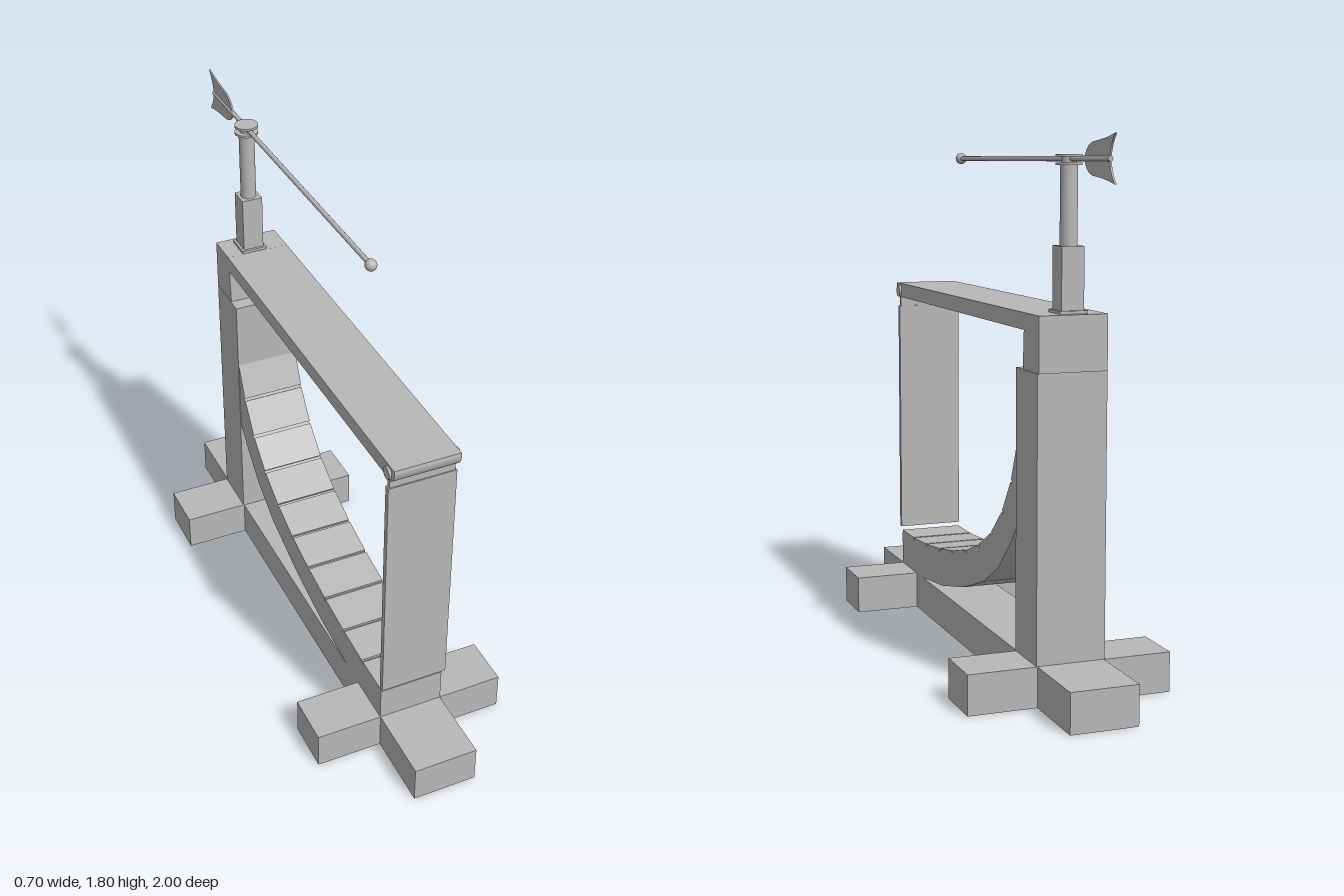
import * as THREE from 'three';

export function createModel() {
  const model = new THREE.Group();
  const grey = new THREE.MeshStandardMaterial({ color: 0xb8b8b8 });
  grey.name = 'plainGrey';

  const add = (name, geometry, x = 0, y = 0, z = 0) => {
    const mesh = new THREE.Mesh(geometry, grey);
    mesh.name = name;
    mesh.position.set(x, y, z);
    model.add(mesh);
    return mesh;
  };
  // Box given by half width and its y and z ranges
  const block = (name, half, y0, y1, z0, z1, x = 0) =>
    add(name, new THREE.BoxGeometry(half * 2, y1 - y0, z1 - z0), x, (y0 + y1) / 2, (z0 + z1) / 2);
  // Side profile in (z, y), extruded across x
  const extrudeSide = (shape, width) =>
    new THREE.ExtrudeGeometry(shape, { depth: width, bevelEnabled: false, curveSegments: 10 })
      .translate(0, 0, -width / 2).rotateY(-Math.PI / 2);
  const toPoints = (list) => list.map(([z, y]) => new THREE.Vector2(z, y));

  // Crossed foot beams
  block('baseBeam', 0.115, 0, 0.135, -0.985, 1);
  block('frontCrossBeam', 0.35, 0, 0.135, 0.548, 0.73);
  block('backCrossBeam', 0.35, 0, 0.135, -0.717, -0.532);

  // Back post and its cap
  block('post', 0.118, 0.135, 1.07, -0.715, -0.53);
  block('postCap', 0.116, 1.07, 1.25, -0.72, -0.6);

  // Curved ramp sweeping up into the post
  const upper = [
    [0.73, 0.268], [0.58, 0.268], [0.425, 0.278], [0.265, 0.296], [0.115, 0.322],
    [-0.03, 0.357], [-0.165, 0.408], [-0.29, 0.478], [-0.395, 0.572], [-0.478, 0.69],
    [-0.538, 0.835], [-0.58, 1.0], [-0.592, 1.2],
  ];
  const lower = [
    [-0.53, 0.545], [-0.475, 0.48], [-0.365, 0.375], [-0.22, 0.29],
    [0, 0.215], [0.23, 0.163], [0.48, 0.135], [0.73, 0.135],
  ];
  const sunk = upper.map(([z, y], i) => {
    const a = upper[Math.max(i - 1, 0)], b = upper[Math.min(i + 1, upper.length - 1)];
    const dz = b[0] - a[0], dy = b[1] - a[1], len = Math.hypot(dz, dy);
    return [i === 0 ? z : z - (dy / len) * 0.01, y + (dz / len) * 0.01];
  });
  sunk[sunk.length - 1][1] = 1.2;
  add('curvedRamp', extrudeSide(new THREE.Shape(toPoints(
    [...sunk, [-0.7, 1.2], [-0.7, 0.545], ...lower])), 0.232));

  // Slats laid along the ramp with narrow gaps
  for (let i = 0; i < upper.length - 1; i++) {
    const [z0, y0] = upper[i], [z1, y1] = upper[i + 1];
    const length = Math.hypot(z1 - z0, y1 - y0);
    const slope = Math.atan2(y1 - y0, z0 - z1);
    const slat = add('slat', new THREE.BoxGeometry(0.232, 0.014, length - 0.01),
      0, (y0 + y1) / 2 - Math.cos(slope) * 0.007, (z0 + z1) / 2 - Math.sin(slope) * 0.007);
    slat.rotation.x = slope;
  }

  // Top beam with rounded nose
  const beam = new THREE.Shape();
  beam.moveTo(-0.7, 1.195);
  beam.lineTo(0.755, 1.195);
  beam.quadraticCurveTo(0.775, 1.205, 0.778, 1.235);
  beam.lineTo(0.776, 1.248);
  beam.lineTo(-0.7, 1.25);
  add('topBeam', extrudeSide(beam, 0.232));

  // Hinge pin and hanging panel
  add('hingePin', new THREE.CylinderGeometry(0.022, 0.022, 0.248, 20).rotateZ(Math.PI / 2), 0, 1.218, 0.738);
  block('hingeLeaf', 0.115, 1.155, 1.2, 0.732, 0.744);
  block('hangingPanel', 0.12, 0.282, 1.16, 0.728, 0.748);

  // Mast
  const mx = -0.01, mz = -0.65;
  block('mastPlate', 0.047, 1.25, 1.26, mz - 0.047, mz + 0.047, mx);
  block('mastBox', 0.038, 1.26, 1.46, mz - 0.038, mz + 0.038, mx);
  add('mastTube', new THREE.CylinderGeometry(0.028, 0.028, 0.25, 24), mx, 1.585, mz);
  add('bearingHub', new THREE.CylinderGeometry(0.024, 0.024, 0.03, 20), mx, 1.725, mz);
  for (const y of [1.712, 1.738])
    add('bearingDisc', new THREE.CylinderGeometry(0.042, 0.042, 0.008, 24), mx, y, mz);

  // Wind vane: rod, ball and notched tail
  add('vaneRod', new THREE.CylinderGeometry(0.0085, 0.0085, 1.33, 12).rotateX(Math.PI / 2), mx, 1.728, -0.297);
  add('vaneBall', new THREE.SphereGeometry(0.02, 20, 14), mx, 1.728, 0.37);
  const tail = new THREE.Shape();
  tail.moveTo(-0.775, 1.728);
  tail.quadraticCurveTo(-0.79, 1.77, -0.84, 1.779);
  tail.quadraticCurveTo(-0.94, 1.787, -1, 1.803);
  tail.quadraticCurveTo(-0.925, 1.728, -1, 1.653);
  tail.quadraticCurveTo(-0.94, 1.669, -0.84, 1.677);
  tail.quadraticCurveTo(-0.79, 1.686, -0.775, 1.728);
  add('vaneTail', extrudeSide(tail, 0.006), mx);

  return model;
}
